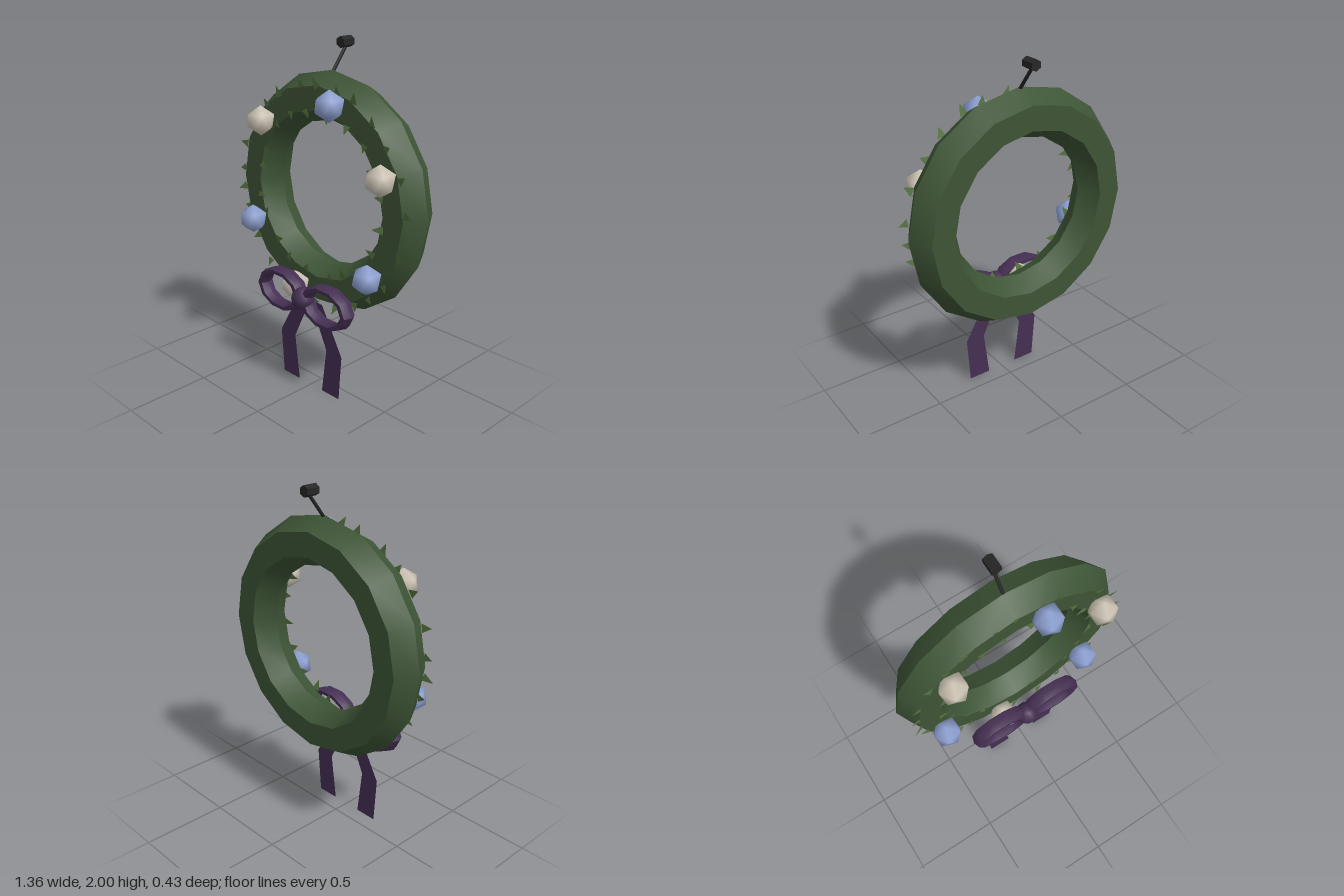
import * as THREE from 'three';
import { mergeVertices, toCreasedNormals } from 'three/addons/utils/BufferGeometryUtils.js';

const mat = (name, color, double = false) => {
  const m = new THREE.MeshStandardMaterial({ color });
  m.name = name;
  if (double) m.side = THREE.DoubleSide;
  return m;
};

export function createModel() {
  const group = new THREE.Group();
  const green = mat('wreath green', 0x3e5536);
  const leafGreen = mat('leaf green', 0x55723f, true);
  const cream = mat('cream', 0xcfc6b6);
  const blue = mat('pale blue', 0x8fa2d4);
  const purple = mat('ribbon purple', 0x452f53, true);
  const black = mat('hook black', 0x262626);

  const add = (name, geo, material, x = 0, y = 0, z = 0) => {
    const m = new THREE.Mesh(geo, material);
    m.name = name;
    m.position.set(x, y, z);
    group.add(m);
    return m;
  };

  // Wreath ring: hexagonal tube, sharp along its bands
  const CY = 1.15;
  add('wreathRing', toCreasedNormals(new THREE.TorusGeometry(0.545, 0.135, 6, 16), 0.7), green, 0, CY, -0.082);

  // Small leaf triangles along the outer and inner front edges
  let seed = 7;
  const rnd = () => (seed = (seed * 16807) % 2147483647) / 2147483647 - 0.5;
  const pts = [];
  const addLeaf = (angle, radius, out) => {
    const c = new THREE.Vector3(Math.cos(angle) * radius, Math.sin(angle) * radius, 0.036);
    const dirAngle = angle + (out > 0 ? 0 : Math.PI) + rnd() * 1.2;
    const dir = new THREE.Vector3(Math.cos(dirAngle), Math.sin(dirAngle), 0.15 + rnd() * 0.4);
    const side = new THREE.Vector3(-Math.sin(dirAngle), Math.cos(dirAngle), rnd() * 0.3);
    const len = 0.055 + rnd() * 0.02;
    const corners = [
      c.clone().addScaledVector(side, -0.025),
      c.clone().addScaledVector(side, 0.025),
      c.clone().addScaledVector(dir, len),
    ];
    corners.forEach((v) => pts.push(v.x, v.y, v.z));
  };
  const rows = [[26, 0.605, 1], [20, 0.485, -1]];
  for (const [count, radius, out] of rows) {
    for (let i = 0; i < count; i++) {
      addLeaf((i + 0.5 + rnd() * 0.4) / count * Math.PI * 2, radius + rnd() * 0.03, out);
    }
  }
  const leafGeo = new THREE.BufferGeometry();
  leafGeo.setAttribute('position', new THREE.Float32BufferAttribute(pts, 3));
  leafGeo.computeVertexNormals();
  add('leaves', leafGeo, leafGreen, 0, CY, 0);

  // Baubles: softly shaded twenty-sided balls standing on a corner
  let ball = new THREE.IcosahedronGeometry(0.086, 0);
  ball.deleteAttribute('normal');
  ball.deleteAttribute('uv');
  ball = mergeVertices(ball);
  ball.rotateZ(Math.atan(2 / (1 + Math.sqrt(5))));
  ball.computeVertexNormals();
  const baubles = [
    [-0.4, 1.52, cream], [0.5, 1.36, cream], [-0.127, 0.605, cream],
    [0.143, 1.68, blue], [0.423, 0.805, blue], [-0.49, 0.915, blue],
  ];
  for (const [x, y, m] of baubles) add('bauble', ball, m, x, y, 0.086);

  // Bow loops, tails and knot
  for (const s of [-1, 1]) {
    const loop = new THREE.TorusGeometry(0.13, 0.0245, 6, 10);
    loop.scale(1.2, 0.83, 1.95);
    add('bowLoop', toCreasedNormals(loop, 0.7), purple, s * 0.18, 0.578, 0.136);

    const tail = new THREE.Shape([
      [0, 0.55], [0.095, 0.55], [0.25, 0.275], [0.23, 0], [0.095, 0], [0.13, 0.275],
    ].map(([x, y]) => new THREE.Vector2(s * x, y)));
    add('bowTail', new THREE.ShapeGeometry(tail), purple, 0, 0, 0.09);
  }
  const knot = new THREE.SphereGeometry(0.066, 12, 8);
  knot.rotateX(Math.PI / 2);
  add('bowKnot', knot, purple, 0, 0.578, 0.147);

  // Hanger: slanted rod with a hexagonal peg
  const a = new THREE.Vector3(0, 1.79, -0.062);
  const b = new THREE.Vector3(0, 1.965, -0.195);
  const rodGeo = toCreasedNormals(new THREE.CylinderGeometry(0.01, 0.01, a.distanceTo(b), 6), 0.7);
  const mid = a.clone().add(b).multiplyScalar(0.5);
  const rod = add('hangerRod', rodGeo, black, mid.x, mid.y, mid.z);
  rod.quaternion.setFromUnitVectors(new THREE.Vector3(0, 1, 0), b.clone().sub(a).normalize());
  const peg = new THREE.CylinderGeometry(0.031, 0.031, 0.08, 6);
  peg.rotateX(Math.PI / 2);
  add('hangerPeg', toCreasedNormals(peg, 0.7), black, 0, 1.969, -0.177);

  return group;
}
